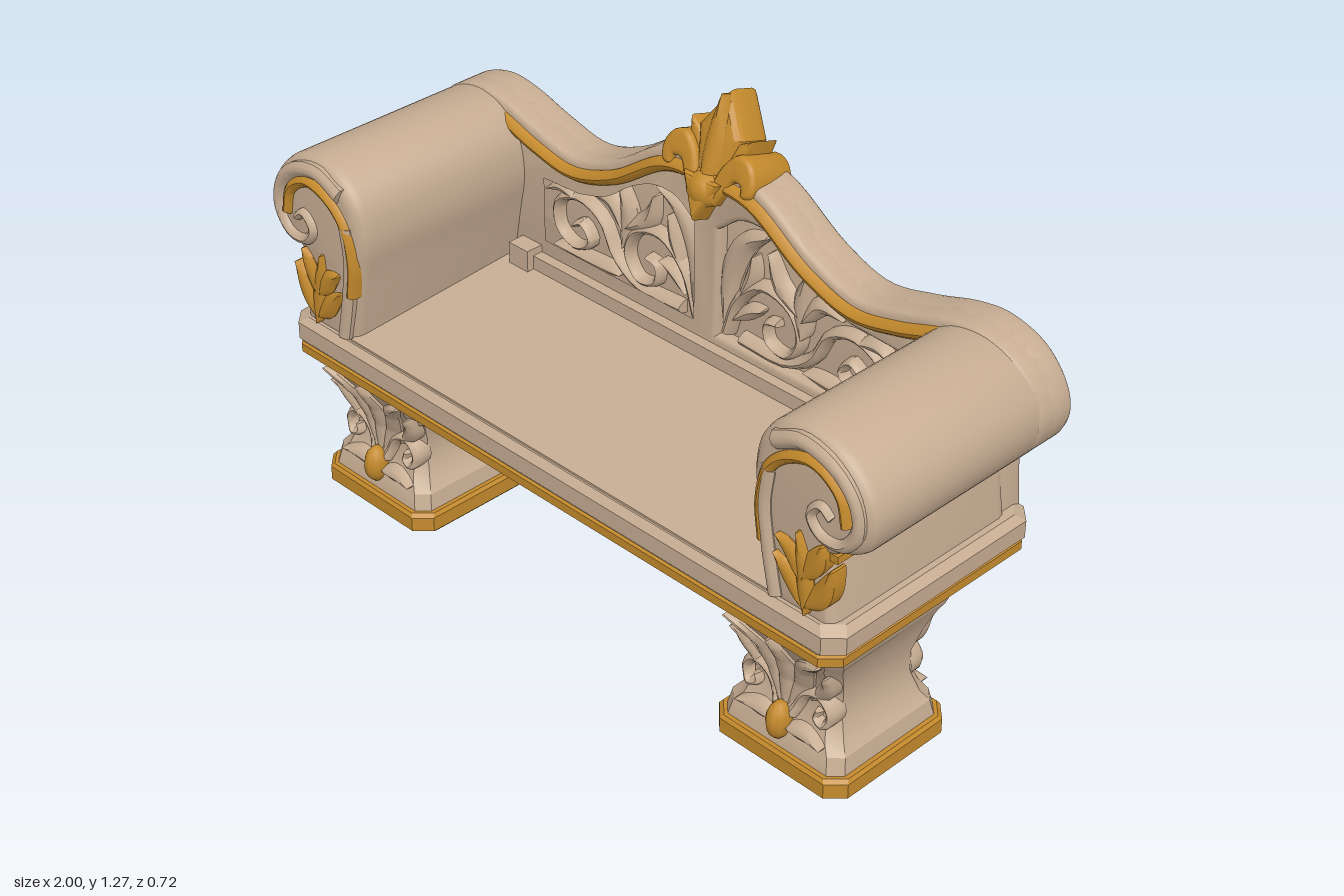
import * as THREE from 'three';
import { toCreasedNormals } from 'three/addons/utils/BufferGeometryUtils.js';

const stone = new THREE.MeshStandardMaterial({ color: 0xc6ac92 });
stone.name = 'warm stone';
const gold = new THREE.MeshStandardMaterial({ color: 0xc48a2c });
gold.name = 'old gold';

const V2 = (p) => new THREE.Vector2(p[0], p[1]);
const mirrorX = (pts, s) => pts.map(([x, y]) => [x * s, y]);

function add(parent, name, geo, mat, x = 0, y = 0, z = 0) {
  const m = new THREE.Mesh(geo, mat);
  m.name = name;
  m.position.set(x, y, z);
  parent.add(m);
  return m;
}

function smoothPoints(pts, n) {
  return new THREE.CatmullRomCurve3(pts.map(([x, y]) => new THREE.Vector3(x, y, 0)), false, 'centripetal')
    .getPoints(n).map((p) => [p.x, p.y]);
}

function indexed(pos, idx, crease) {
  const g = new THREE.BufferGeometry();
  g.setAttribute('position', new THREE.Float32BufferAttribute(pos, 3));
  g.setIndex(idx);
  g.computeVertexNormals();
  return toCreasedNormals(g, crease);
}

// Bevelled plate between z0 and z1, keeping the given outline as its widest size
function plate(outline, z0, z1, bevel, holes = []) {
  const shape = new THREE.Shape(outline.map(V2));
  shape.holes = holes.map((h) => new THREE.Path(h.map(V2)));
  const g = new THREE.ExtrudeGeometry(shape, {
    depth: z1 - z0 - 2 * bevel, bevelEnabled: true, bevelThickness: bevel,
    bevelSize: bevel, bevelOffset: -bevel, bevelSegments: 3, curveSegments: 8,
  });
  g.translate(0, 0, z0 + bevel);
  return toCreasedNormals(g, 0.55);
}

// Stack of chamfered rectangles: rows of [y, halfX, halfZ, chamfer]
function loft(rows) {
  const pos = [], idx = [], last = (rows.length - 1) * 8;
  for (const [y, a, b, c] of rows) {
    for (const [x, z] of [[a, b - c], [a, c - b], [a - c, -b], [c - a, -b], [-a, c - b], [-a, b - c], [c - a, b], [a - c, b]]) pos.push(x, y, z);
  }
  for (let i = 0; i < rows.length - 1; i++) {
    for (let j = 0; j < 8; j++) {
      const a = i * 8 + j, b = i * 8 + (j + 1) % 8;
      idx.push(a, b, a + 8, b, b + 8, a + 8);
    }
  }
  for (let k = 1; k < 7; k++) idx.push(0, k + 1, k, last, last + k, last + k + 1);
  return indexed(pos, idx, 0.45);
}

// Raised carved band along a curve, facing +z; leaf bands swell in the middle
const stemWidth = (u) => 1 - 0.5 * u;
const leafWidth = (u) => 0.12 + Math.pow(Math.sin(Math.PI * Math.pow(u, 0.8)), 0.8);
function band(pts, w, h, width = stemWidth, zAt = () => 0, n = 32) {
  const curve = new THREE.CatmullRomCurve3(pts.map(([x, y]) => new THREE.Vector3(x, y, 0)), false, 'centripetal');
  const section = [[-1, -0.03], [-1, h * 0.35], [-0.5, h * 0.85], [0, h], [0.5, h * 0.85], [1, h * 0.35], [1, -0.03]];
  const pos = [], idx = [], m = section.length;
  for (let i = 0; i <= n; i++) {
    const u = i / n, p = curve.getPoint(u), t = curve.getTangent(u), k = w * width(u);
    for (const [a, z] of section) {
      const y = p.y + t.x * a * k;
      pos.push(p.x - t.y * a * k, y, zAt(y) + z);
    }
    if (i < n) for (let j = 0; j < m - 1; j++) {
      const a = i * m + j;
      idx.push(a, a + m, a + 1, a + m, a + m + 1, a + 1);
    }
  }
  for (let j = 1; j < m - 1; j++) idx.push(0, j, j + 1, n * m, n * m + j + 1, n * m + j);
  return indexed(pos, idx, 0.7);
}

// Leg profile, also used to seat the carving on its faces
const LEG = [[0.05, 0.185, 0.185, 0.03], [0.1, 0.175, 0.175, 0.03], [0.125, 0.155, 0.16, 0.03], [0.18, 0.135, 0.14, 0.025],
  [0.24, 0.135, 0.14, 0.025], [0.3, 0.15, 0.16, 0.025], [0.35, 0.168, 0.19, 0.03], [0.37, 0.18, 0.2, 0.03], [0.41, 0.19, 0.222, 0.03]];
function legFace(y) {
  for (let i = 1; i < LEG.length; i++) {
    const [y0, , z0] = LEG[i - 1], [y1, , z1] = LEG[i];
    if (y <= y1) return z0 + (z1 - z0) * Math.max(0, (y - y0) / (y1 - y0));
  }
  return 0.222;
}

function makeLeg(s) {
  const leg = new THREE.Group();
  leg.name = s > 0 ? 'leftLeg' : 'rightLeg';
  leg.position.set(0.71 * s, 0, 0.1);
  add(leg, 'plinth', loft([[0, 0.195, 0.195, 0.04], [0.008, 0.202, 0.202, 0.04], [0.048, 0.202, 0.202, 0.04], [0.057, 0.195, 0.195, 0.04]]), gold);
  add(leg, 'column', loft(LEG), stone);
  const bracket = mirrorX([[-0.13, 0.29], [-0.13, 0.415], [-0.28, 0.415], [-0.275, 0.39], [-0.235, 0.335], [-0.19, 0.315]], s);
  add(leg, 'bracket', plate(bracket, -0.15, 0.15, 0.01), stone);
  for (const turn of [0, Math.PI]) {
    const carving = new THREE.Group();
    carving.name = 'legCarving';
    carving.rotation.y = turn;
    leg.add(carving);
    add(carving, 'middleLeaf', band([[0, 0.16], [0, 0.27], [0, 0.385]], 0.03, 0.025, leafWidth, legFace), stone);
    for (const q of [1, -1]) {
      const leaf = (name, pts, w, f) => add(carving, name, band(mirrorX(pts, q), w, 0.022, f, legFace), stone);
      leaf('tallLeaf', [[0.01, 0.16], [0.045, 0.25], [0.075, 0.32], [0.14, 0.375]], 0.026, leafWidth);
      leaf('scroll', [[0.02, 0.15], [0.055, 0.22], [0.1, 0.235], [0.13, 0.2], [0.115, 0.165], [0.09, 0.175], [0.095, 0.195]], 0.016, stemWidth);
      leaf('cornerLeaf', [[0.08, 0.22], [0.12, 0.27], [0.14, 0.33]], 0.018, leafWidth);
      leaf('footLeaf', [[0.02, 0.12], [0.07, 0.125], [0.13, 0.115]], 0.016, leafWidth);
    }
    add(carving, 'goldDrop', new THREE.SphereGeometry(1, 10, 8), gold, 0, 0.128, 0.175).scale.set(0.03, 0.052, 0.038);
  }
  return leg;
}

// Scrolled top line, from the centre out to the tip of the end scroll
const TOP = [[0, 1.1], [0.15, 1.085], [0.33, 0.975], [0.465, 0.93], [0.6, 0.955], [0.73, 0.993], [0.82, 1.0],
  [0.92, 0.965], [0.985, 0.89], [1, 0.82], [0.97, 0.75], [0.9, 0.71]];
const GOLD_LINE = [[0, 1.06], [0.14, 1.045], [0.32, 0.935], [0.465, 0.89], [0.6, 0.912], [0.73, 0.952], [0.82, 0.96],
  [0.9, 0.925], [0.945, 0.86], [0.94, 0.8], [0.9, 0.765]];

function makeBack() {
  const back = new THREE.Group();
  back.name = 'backrest';
  const half = [...smoothPoints(TOP, 60), [0.87, 0.69], [0.89, 0.46]];
  const outline = [...half, ...mirrorX(half.slice(1), -1).reverse()];
  const hole = [[0.03, 0.635], [0.59, 0.635], [0.59, 0.845], ...smoothPoints([[0.45, 0.852], [0.36, 0.88], [0.27, 0.945], [0.18, 0.985], [0.1, 0.98], [0.03, 0.93]], 20)];
  add(back, 'backPanel', plate(outline, -0.335, -0.24, 0.02), stone);
  add(back, 'backFrame', plate(outline, -0.29, -0.205, 0.015, [mirrorX(hole, 1), mirrorX(hole, -1)]), stone);
  add(back, 'bottomRail', new THREE.BoxGeometry(1.3, 0.1, 0.05), stone, 0, 0.56, -0.2);

  for (const s of [1, -1]) {
    // Gold edging on both faces
    add(back, 'frontGoldEdge', band(mirrorX(GOLD_LINE, s), 0.019, 0.025, () => 1, undefined, 70), gold, 0, 0, -0.21);
    add(back, 'rearGoldEdge', band(mirrorX(GOLD_LINE, s), 0.019, 0.014, (u) => 1 - 0.3 * u, undefined, 70), gold, 0, 0, -0.33).rotation.y = Math.PI;
    // Carved foliage in the sunk panel
    const carve = (name, w, f, pts) => add(back, name, band(mirrorX(pts, s), w, 0.032, f), stone, 0, 0, -0.24);
    carve('innerScroll', 0.018, stemWidth, [[0.05, 0.65], [0.09, 0.76], [0.17, 0.825], [0.26, 0.8], [0.29, 0.73], [0.25, 0.67], [0.19, 0.685], [0.185, 0.735], [0.22, 0.745]]);
    carve('outerScroll', 0.018, stemWidth, [[0.1, 0.65], [0.25, 0.65], [0.33, 0.7], [0.38, 0.785], [0.46, 0.815], [0.54, 0.775], [0.535, 0.7], [0.47, 0.67], [0.42, 0.705], [0.45, 0.745], [0.48, 0.73]]);
    carve('tallLeaf', 0.03, leafWidth, [[0.05, 0.68], [0.06, 0.82], [0.11, 0.92], [0.18, 0.965]]);
    carve('sprigLeaf', 0.028, leafWidth, [[0.3, 0.74], [0.29, 0.83], [0.31, 0.92]]);
    carve('sprigLeaf', 0.022, leafWidth, [[0.3, 0.79], [0.35, 0.85], [0.43, 0.85]]);
    carve('sprigLeaf', 0.024, leafWidth, [[0.29, 0.8], [0.22, 0.85], [0.19, 0.93]]);
    carve('sideLeaf', 0.02, leafWidth, [[0.1, 0.77], [0.13, 0.84], [0.14, 0.9]]);
    carve('sideLeaf', 0.018, leafWidth, [[0.31, 0.655], [0.4, 0.65], [0.55, 0.65]]);
    carve('sideLeaf', 0.018, leafWidth, [[0.47, 0.81], [0.53, 0.82], [0.575, 0.8]]);
    carve('sideLeaf', 0.018, leafWidth, [[0.08, 0.7], [0.13, 0.74], [0.17, 0.76]]);
    add(back, 'cornerBlock', new THREE.BoxGeometry(0.07, 0.08, 0.05), stone, 0.625 * s, 0.59, -0.18);
  }

  // Leafy finial leaning backwards
  const finial = new THREE.Group();
  finial.name = 'finial';
  finial.position.set(0, 1.02, -0.245);
  finial.rotation.x = -0.3;
  back.add(finial);
  add(finial, 'finialLeaf', plate([[0, 0.245], [-0.07, 0.14], [-0.035, -0.02], [0.035, -0.02], [0.07, 0.14]], -0.06, 0.06, 0.03), gold);
  add(finial, 'finialTip', band([[0, 0], [0, 0.12], [0, 0.235]], 0.03, 0.03, leafWidth), gold, 0, 0, 0.045);
  add(finial, 'finialPoint', plate([[-0.06, 0.03], [0, -0.08], [0.06, 0.03]], -0.07, 0.085, 0.018), gold);
  add(finial, 'finialBoss', new THREE.SphereGeometry(1, 12, 8), gold, 0, 0, 0.055).scale.set(0.05, 0.045, 0.04);
  const petal = smoothPoints([[0.02, 0.01], [0.045, 0.075], [0.085, 0.115], [0.125, 0.105], [0.148, 0.065], [0.142, 0.025],
    [0.115, 0.02], [0.108, 0.045], [0.085, 0.045], [0.065, 0.01], [0.04, -0.03]], 30);
  for (const s of [1, -1]) {
    add(finial, 'finialPetal', plate(mirrorX(petal, s), -0.075, 0.07, 0.012), gold);
    add(finial, 'innerPetal', plate(mirrorX([[0.02, 0.02], [0.09, 0.1], [0.098, 0.15], [0.06, 0.13]], s), -0.05, 0.05, 0.012), gold);
  }
  return back;
}

function makeArm(s) {
  const arm = new THREE.Group();
  arm.name = s > 0 ? 'leftArm' : 'rightArm';
  const roll = smoothPoints([[0.705, 0.5], [0.668, 0.7], [0.648, 0.82], [0.67, 0.92], [0.73, 0.978], [0.82, 0.995],
    [0.92, 0.962], [0.985, 0.89], [0.998, 0.82], [0.97, 0.75], [0.9, 0.712]], 50);
  add(arm, 'armBody', plate(mirrorX([...roll, [0.87, 0.69], [0.9, 0.5]], s), -0.27, 0.33, 0.035), stone);
  add(arm, 'armGoldStrip', new THREE.BoxGeometry(0.05, 0.02, 0.63), gold, 0.875 * s, 0.7, 0.005);
  const carve = (name, mat, w, f, pts) => add(arm, name, band(mirrorX(pts, s), w, 0.02, f, undefined, 40), mat, 0, 0, 0.326);
  carve('armScroll', stone, 0.022, stemWidth, [[0.72, 0.93], [0.8, 0.962], [0.89, 0.94], [0.95, 0.88], [0.96, 0.81], [0.92, 0.755], [0.86, 0.755], [0.83, 0.795], [0.86, 0.83], [0.89, 0.81]]);
  carve('armPilasterEdge', stone, 0.02, () => 1, [[0.735, 0.53], [0.71, 0.65], [0.695, 0.76], [0.705, 0.85]]);
  carve('armGoldLine', gold, 0.015, () => 1, [[0.93, 0.81], [0.91, 0.88], [0.84, 0.925], [0.76, 0.905], [0.705, 0.85], [0.685, 0.76], [0.695, 0.66]]);
  // Gold leaf spray at the foot of the scroll
  const spray = [[[0.83, 0.53], [0.82, 0.62], [0.8, 0.735]], [[0.83, 0.55], [0.87, 0.6], [0.9, 0.68]], [[0.82, 0.55], [0.78, 0.6], [0.735, 0.65]],
    [[0.82, 0.62], [0.85, 0.68], [0.87, 0.73]], [[0.81, 0.62], [0.78, 0.67], [0.74, 0.7]]];
  for (const pts of spray) carve('armLeaf', gold, 0.024, leafWidth, pts);
  return arm;
}

function makeSeat() {
  const seat = new THREE.Group();
  seat.name = 'seat';
  seat.position.z = 0.012;
  add(seat, 'seatUnderside', loft([[0.405, 0.89, 0.315, 0.04], [0.43, 0.915, 0.335, 0.04]]), stone);
  add(seat, 'seatGoldRim', loft([[0.415, 0.912, 0.33, 0.04], [0.425, 0.925, 0.343, 0.04], [0.448, 0.925, 0.343, 0.04], [0.455, 0.915, 0.335, 0.04]]), gold);
  add(seat, 'seatSlab', loft([[0.45, 0.915, 0.335, 0.04], [0.462, 0.932, 0.343, 0.04], [0.508, 0.932, 0.343, 0.04], [0.525, 0.912, 0.325, 0.04]]), stone);
  // Sitting surface rising slightly to the back
  const top = new THREE.BoxGeometry(1.42, 0.04, 0.55);
  const p = top.attributes.position;
  for (let i = 0; i < p.count; i++) if (p.getY(i) > 0) p.setY(i, p.getZ(i) < 0 ? 0.06 : 0.015);
  top.computeVertexNormals();
  add(seat, 'sittingSurface', top, stone, 0, 0.515, 0.045);
  return seat;
}

export function createModel() {
  const bench = new THREE.Group();
  bench.name = 'bench';
  bench.add(makeSeat(), makeBack());
  for (const s of [1, -1]) bench.add(makeLeg(s), makeArm(s));
  return bench;
}
